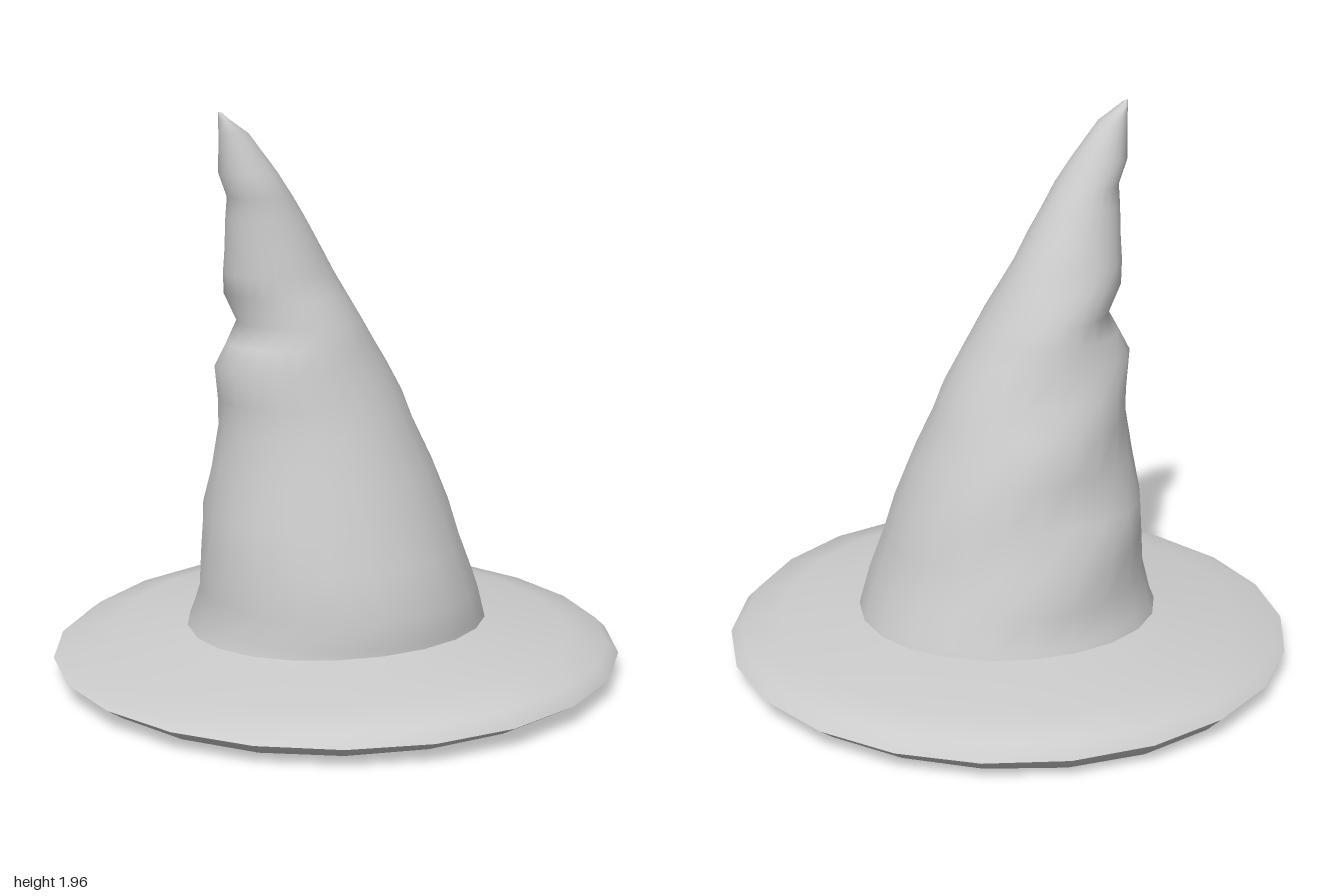
import * as THREE from 'three';
import { toCreasedNormals } from 'three/addons/utils/BufferGeometryUtils.js';

const SEGMENTS = 22;

// Skins a stack of rings; point(ring, angle) returns [x, y, z].
function loft(rings, point) {
  const positions = [];
  const index = [];
  rings.forEach((ring, i) => {
    for (let j = 0; j < SEGMENTS; j++) {
      positions.push(...point(ring, (j / SEGMENTS) * Math.PI * 2));
      if (i === rings.length - 1) continue;
      const a = i * SEGMENTS + j;
      const b = i * SEGMENTS + ((j + 1) % SEGMENTS);
      const c = a + SEGMENTS;
      const d = b + SEGMENTS;
      index.push(a, c, b, b, c, d);
    }
  });
  const geometry = new THREE.BufferGeometry();
  geometry.setAttribute('position', new THREE.Float32BufferAttribute(positions, 3));
  geometry.setIndex(index);
  geometry.computeVertexNormals();
  return geometry;
}

function createCrown() {
  // Each ring: height, right x, left x, back z, front z
  const rings = [
    [0.15, -0.54, 0.55, -0.53, 0.51],
    [0.22, -0.51, 0.53, -0.51, 0.50],
    [0.32, -0.49, 0.49, -0.47, 0.51],
    [0.47, -0.49, 0.44, -0.45, 0.46],
    [0.60, -0.47, 0.40, -0.41, 0.42],
    [0.75, -0.44, 0.34, -0.37, 0.37],
    [0.90, -0.42, 0.27, -0.34, 0.32],
    [1.00, -0.42, 0.23, -0.30, 0.29],
    [1.11, -0.43, 0.17, -0.27, 0.26],
    [1.19, -0.39, 0.12, -0.25, 0.24],
    [1.26, -0.35, 0.08, -0.24, 0.22],
    [1.36, -0.40, 0.02, -0.21, 0.19],
    [1.43, -0.40, -0.02, -0.19, 0.16],
    [1.51, -0.40, -0.07, -0.16, 0.16],
    [1.62, -0.40, -0.13, -0.12, 0.12],
    [1.69, -0.40, -0.18, -0.10, 0.13],
    [1.77, -0.43, -0.23, -0.08, 0.10],
    [1.90, -0.43, -0.33, -0.04, 0.06],
    [1.95, -0.43, -0.40, -0.02, 0.03],
    [1.97, -0.43, -0.42, 0, 0],
  ];
  return loft(rings, ([y, x0, x1, z0, z1], a) => {
    // Slanting cloth folds, strongest at the back
    const back = Math.max(0, -Math.sin(a + 0.3));
    const fade = Math.min(1, Math.max(0, (y - 0.2) * 3)) * Math.max(0, 1 - y / 1.9);
    const fold = 1 + 0.055 * back * fade * Math.sin(y * 15 + a * 3);
    return [
      (x0 + x1) / 2 + ((x1 - x0) / 2) * fold * Math.cos(a),
      y,
      (z0 + z1) / 2 + ((z1 - z0) / 2) * fold * Math.sin(a),
    ];
  });
}

function createBrim() {
  // Radius, height, sway of the upper face, sag of the underside
  const profile = [
    [0, 0.37, 0, 0], [0.18, 0.34, 0, 0], [0.30, 0.25, 0, 0], [0.37, 0.12, 0, 0],
    [0.43, 0.05, 0, 0], [0.62, 0.038, 0, 0.6], [0.82, 0.034, 0, 1], [0.94, 0.045, 0, 1],
    [0.998, 0.085, 0, 0], [0.96, 0.12, 1, 0], [0.82, 0.15, 1, 0], [0.64, 0.175, 0.8, 0],
    [0.5, 0.195, 0.5, 0],
  ];
  const geometry = loft(profile, ([r, y, sway, sag], a) => {
    const top = 0.012 * Math.cos(a) - 0.012 * Math.cos(2 * a);
    const under = 0.016 * Math.max(0, -Math.sin(a)) + 0.005 * Math.sin(3 * a + 1);
    return [r * Math.cos(a), y + sway * top - sag * under, r * Math.sin(a)];
  });
  return toCreasedNormals(geometry, 1.1);
}

export function createModel() {
  const group = new THREE.Group();
  group.name = 'pointedHat';
  const material = new THREE.MeshStandardMaterial({ color: 0xcccccc });

  const crown = new THREE.Mesh(createCrown(), material);
  crown.name = 'crown';

  const brim = new THREE.Mesh(createBrim(), material);
  brim.name = 'brim';

  group.add(crown, brim);
  return group;
}
